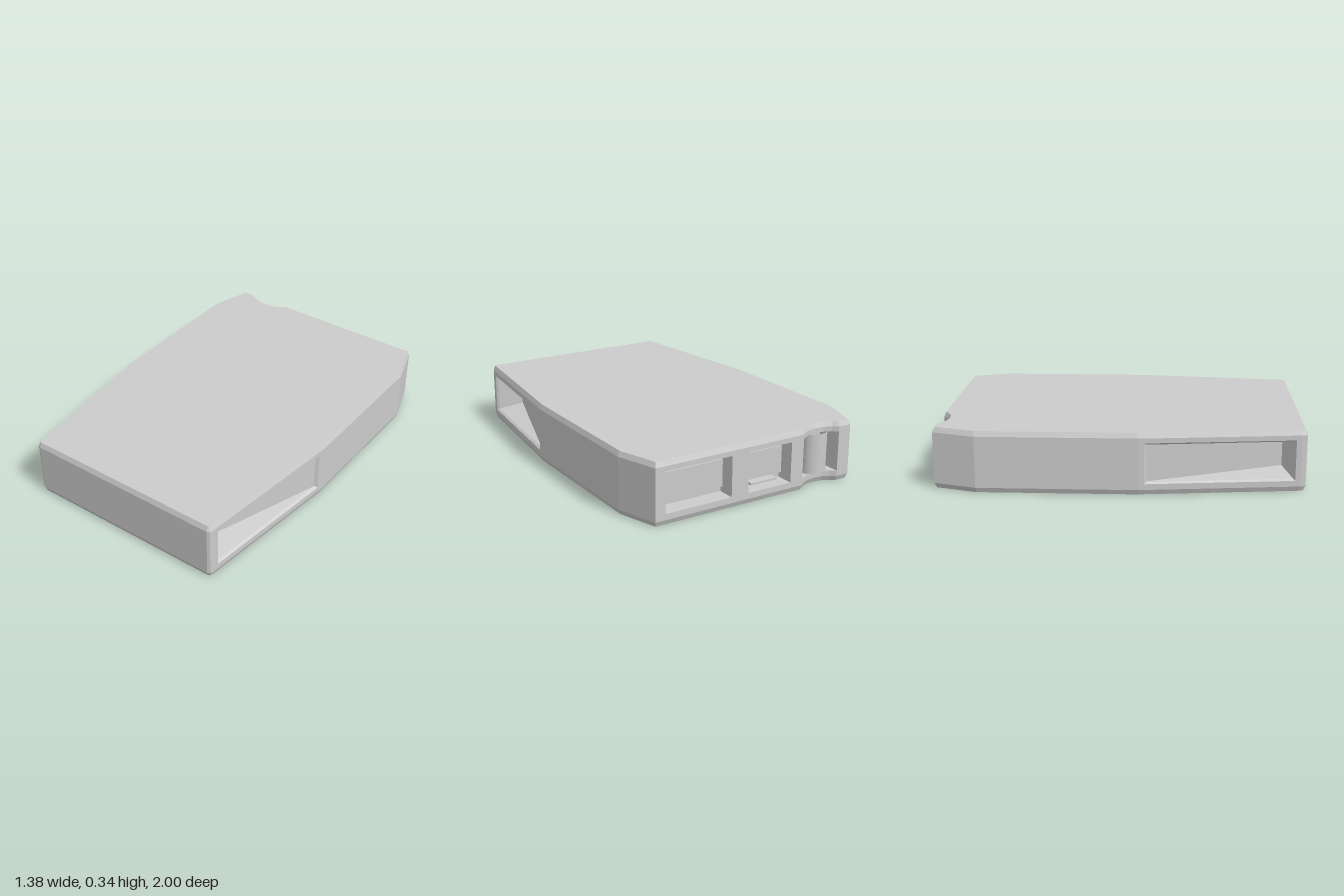
import * as THREE from 'three';

const H = 0.34, LOW = 0.06, HIGH = 0.285; // body height, opening bottom and top
const V = (x, y, z) => new THREE.Vector3(x, y, z);

// Collects flat-shaded faces, corners counter-clockwise seen from outside
class Faces {
  constructor() { this.pos = []; }
  tri(...p) { p.forEach(v => this.pos.push(v.x, v.y, v.z)); }
  quad(a, b, c, d) { this.tri(a, b, c); this.tri(a, c, d); }
  // walls joining two four-cornered rings
  walls(outer, inner) {
    for (let i = 0; i < 4; i++) {
      const j = (i + 1) % 4;
      this.quad(outer[i], outer[j], inner[j], inner[i]);
    }
  }
  // flat cap over an [x, z] outline
  cap(outline, y, up) {
    const flat = outline.map(([x, z]) => new THREE.Vector2(x, -z));
    for (const f of THREE.ShapeUtils.triangulateShape(flat, [])) {
      const p = f.map(i => V(outline[i][0], y, outline[i][1]));
      this.tri(...(up ? p : p.reverse()));
    }
  }
  mesh(name, material) {
    const g = new THREE.BufferGeometry();
    g.setAttribute('position', new THREE.Float32BufferAttribute(this.pos, 3));
    g.computeVertexNormals();
    const m = new THREE.Mesh(g, material);
    m.name = name;
    return m;
  }
}

// Moves an outline inwards by d, mitring its corners
function inset(pts, d) {
  const n = pts.length;
  const normal = (a, b) => {
    const dx = b[0] - a[0], dz = b[1] - a[1], l = Math.hypot(dx, dz);
    return [-dz / l, dx / l];
  };
  return pts.map((p, i) => {
    const a = normal(pts[(i + n - 1) % n], p), b = normal(p, pts[(i + 1) % n]);
    const k = d / (1 + a[0] * b[0] + a[1] * b[1]);
    return [p[0] - (a[0] + b[0]) * k, p[1] - (a[1] + b[1]) * k];
  });
}

export function createModel() {
  const group = new THREE.Group();
  const grey = new THREE.MeshStandardMaterial({ color: 0xcccccc, flatShading: true });
  const smooth = new THREE.MeshStandardMaterial({ color: 0xcccccc });

  const sideX = z => 0.592 + (0.97 - z) / 0.87 * 0.098;
  const zFront = 0.94, zBack = 0.135;
  const notch = [[-0.30, -1], [-0.33, -0.977], [-0.37, -0.959], [-0.42, -0.953],
    [-0.47, -0.959], [-0.51, -0.977], [-0.54, -1]];
  const backWindows = [[0.56, 0.16], [0.055, -0.22]];

  // Outline of the case; a third entry marks a wall segment left open
  const right = [[0.57, 1], [0.585, 0.992], [0.592, 0.97], [sideX(zFront), zFront, true],
    [sideX(zBack), zBack], [0.69, 0.1], [0.69, -0.765], [0.617, -1]];
  const left = [[-0.617, -1], [-0.69, -0.765], [-0.69, 0.1], [-sideX(zBack), zBack, true],
    [-sideX(zFront), zFront], [-0.592, 0.97], [-0.585, 0.992], [-0.57, 1]];
  const back = backWindows.flatMap(([a, b]) => [[a, -1, true], [b, -1]]);
  const outline = [...right, ...back,
    ...notch.map(([x, z], i) => [x, z, i < notch.length - 1]), ...left];
  const edge = inset(outline, 0.012);

  // Case: bevelled bands with openings in the middle band
  const shell = new Faces();
  const levels = [[edge, 0], [outline, 0.028], [outline, LOW], [outline, HIGH],
    [outline, H - 0.028], [edge, H]];
  for (let k = 0; k < levels.length - 1; k++) {
    const [lo, y0] = levels[k], [hi, y1] = levels[k + 1];
    outline.forEach((p, i) => {
      if (k === 2 && p[2]) return;
      const j = (i + 1) % outline.length;
      shell.quad(V(lo[i][0], y0, lo[i][1]), V(lo[j][0], y0, lo[j][1]),
        V(hi[j][0], y1, hi[j][1]), V(hi[i][0], y1, hi[i][1]));
    });
  }
  shell.cap(edge, 0, false);
  shell.cap(edge, H, true);
  group.add(shell.mesh('caseShell', grey));

  // Wedge-shaped side scoops, deepest at the front
  const ring = (xa, za, ya, xb, zb, yb) => [V(xa, LOW + ya, za), V(xb, LOW + yb, zb),
    V(xb, HIGH - yb, zb), V(xa, HIGH - ya, za)];
  const xa = sideX(zFront), xb = sideX(zBack);
  const scoop = [
    ring(xa, zFront, 0, xb, zBack, 0),
    ring(xa - 0.012, zFront - 0.01, 0.009, xb - 0.012, zBack + 0.01, 0.009),
    ring(0.445, 0.88, 0.04, xb - 0.016, zBack + 0.012, 0.011),
  ];
  for (const s of [1, -1]) {
    const rings = s > 0 ? scoop
      : scoop.map(r => [1, 0, 3, 2].map(i => V(-r[i].x, r[i].y, r[i].z)));
    const f = new Faces();
    f.walls(rings[0], rings[1]);
    f.walls(rings[1], rings[2]);
    f.quad(...rings[2]);
    group.add(f.mesh(s > 0 ? 'leftScoop' : 'rightScoop', grey));
  }

  // Box helper, placed by its centre
  const box = (name, w, h, d, x, y, z) => {
    const m = new THREE.Mesh(new THREE.BoxGeometry(w, h, d), grey);
    m.name = name;
    m.position.set(x, y, z);
    group.add(m);
  };

  // Port recesses in the back, each with a raised inner plate
  const mid = (LOW + HIGH) / 2;
  backWindows.forEach(([a, b], i) => {
    const f = new Faces();
    const inner = ring(a, -0.90, 0, b, -0.90, 0);
    f.walls(ring(a, -1, 0, b, -1, 0), inner);
    f.quad(...inner);
    group.add(f.mesh('portRecess' + (i + 1), grey));
    box('portPlate' + (i + 1), a - b - 0.02, 0.15, 0.03, (a + b) / 2, mid, -0.915);
  });
  // Latch tabs above and below the smaller port
  const [a, b] = backWindows[1];
  for (const y of [LOW + 0.018, HIGH - 0.018]) {
    box('portTab', (a - b) * 0.6, 0.012, 0.05, (a + b) / 2, y, -0.925);
  }

  // Recess behind the curved notch
  const bay = [...notch, [-0.54, -0.85], [-0.30, -0.85]];
  const f = new Faces();
  f.cap(bay, LOW, true);
  f.cap(bay, HIGH, false);
  for (let i = notch.length - 1; i < bay.length; i++) {
    const p = bay[i], q = bay[(i + 1) % bay.length];
    f.quad(V(q[0], LOW, q[1]), V(p[0], LOW, p[1]), V(p[0], HIGH, p[1]), V(q[0], HIGH, q[1]));
  }
  group.add(f.mesh('strapRecess', grey));

  // Upright post for the strap
  const post = new THREE.Mesh(new THREE.CylinderGeometry(1, 1, HIGH - LOW, 32, 1, true), smooth);
  post.name = 'strapPost';
  post.scale.set(0.075, 1, 0.06);
  post.position.set(-0.435, mid, -0.922);
  group.add(post);

  return group;
}
